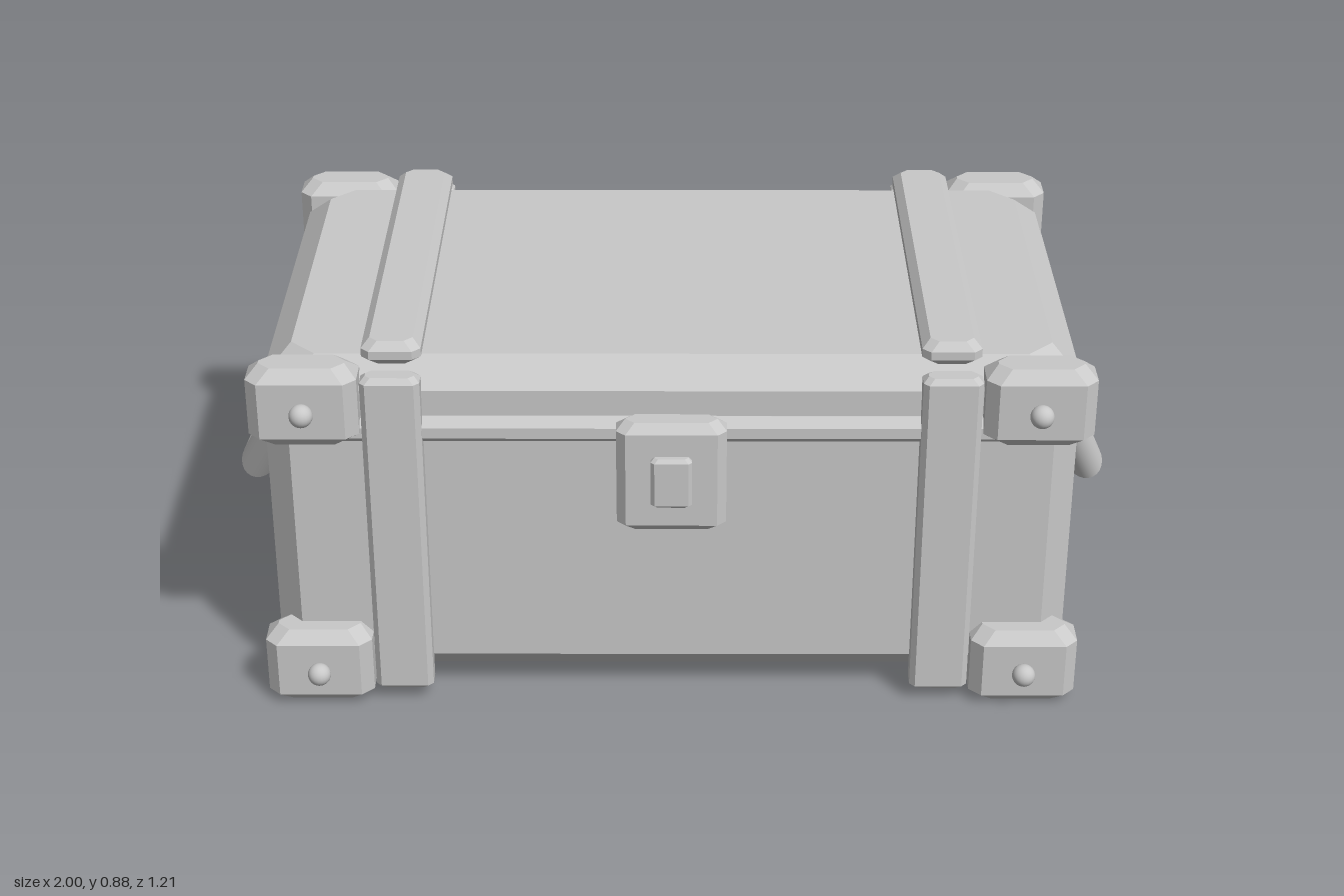
import * as THREE from 'three';

const grey = new THREE.MeshStandardMaterial({ color: 0xc8c8c8 });
grey.name = 'grey';

// Flat-faced solid through eight-sided rings, each [y, halfX, halfZ, cornerCut]
function loft(rings) {
  const pts = rings.map(([y, w, d, c]) => [
    [w, c - d], [w, d - c], [w - c, d], [c - w, d],
    [-w, d - c], [-w, c - d], [c - w, -d], [w - c, -d],
  ].map(([x, z]) => [x, y, z]));
  const out = [];
  const tri = (...p) => p.forEach((v) => out.push(...v));
  for (let i = 0; i + 1 < pts.length; i++) {
    for (let j = 0; j < 8; j++) {
      const k = (j + 1) % 8, lo = pts[i], hi = pts[i + 1];
      tri(lo[j], hi[j], hi[k]);
      tri(lo[j], hi[k], lo[k]);
    }
  }
  const bottom = pts[0], top = pts[pts.length - 1];
  for (let j = 1; j < 7; j++) {
    tri(bottom[0], bottom[j], bottom[j + 1]);
    tri(top[0], top[j + 1], top[j]);
  }
  const g = new THREE.BufferGeometry();
  g.setAttribute('position', new THREE.Float32BufferAttribute(out, 3));
  g.computeVertexNormals();
  return g;
}

// Block with every edge bevelled by b
function block(w, h, d, b) {
  return loft([
    [-h / 2, w / 2 - b, d / 2 - b, b], [-h / 2 + b, w / 2, d / 2, b],
    [h / 2 - b, w / 2, d / 2, b], [h / 2, w / 2 - b, d / 2 - b, b],
  ]);
}

// Round bar with mitred corners along a list of points
function mitredBar(points, radius, sides) {
  const dirs = points.slice(1).map((p, i) => p.clone().sub(points[i]).normalize());
  const u = new THREE.Vector3(1, 0, 0).cross(dirs[0]).normalize();
  const v = dirs[0].clone().cross(u);
  let ring = [];
  for (let j = 0; j < sides; j++) {
    const a = (j / sides) * Math.PI * 2;
    ring.push(points[0].clone().addScaledVector(u, Math.cos(a) * radius).addScaledVector(v, Math.sin(a) * radius));
  }
  const pos = [], index = [];
  const add = (p) => pos.push(p.x, p.y, p.z);
  const cap = (centre, loop, flip) => {
    const s = pos.length / 3;
    add(centre);
    loop.forEach(add);
    for (let j = 0; j < sides; j++) {
      const a = s + 1 + j, b = s + 1 + ((j + 1) % sides);
      index.push(s, flip ? b : a, flip ? a : b);
    }
  };
  cap(points[0], ring, true);
  dirs.forEach((d, i) => {
    const n = d.clone().add(dirs[i + 1] || d);
    const next = ring.map((p) => p.clone().addScaledVector(d, points[i + 1].clone().sub(p).dot(n) / d.dot(n)));
    const s = pos.length / 3;
    ring.forEach(add);
    next.forEach(add);
    for (let j = 0; j < sides; j++) {
      const k = (j + 1) % sides;
      index.push(s + j, s + k, s + sides + k, s + j, s + sides + k, s + sides + j);
    }
    ring = next;
  });
  cap(points[points.length - 1], ring, false);
  const g = new THREE.BufferGeometry();
  g.setAttribute('position', new THREE.Float32BufferAttribute(pos, 3));
  g.setIndex(index);
  g.computeVertexNormals();
  return g;
}

export function createModel() {
  const model = new THREE.Group();
  model.name = 'trunk';
  const add = (name, geometry, x = 0, y = 0, z = 0) => {
    const mesh = new THREE.Mesh(geometry, grey);
    mesh.name = name;
    mesh.position.set(x, y, z);
    model.add(mesh);
  };

  // Body, rim and lid
  add('body', loft([[0.04, 0.83, 0.44, 0.055], [0.1, 0.895, 0.5, 0.058], [0.68, 0.895, 0.5, 0.058]]));
  add('rim', loft([
    [0.662, 0.91, 0.515, 0.03], [0.675, 0.922, 0.528, 0.03],
    [0.7, 0.922, 0.528, 0.03], [0.72, 0.905, 0.507, 0.03],
  ]));
  add('lid', loft([[0.7, 0.895, 0.505, 0.06], [0.78, 0.895, 0.505, 0.06], [0.84, 0.834, 0.444, 0.057]]));

  // Corner brackets with rivets, and straps
  const bracket = block(0.24, 0.185, 0.12, 0.027);
  const rivet = new THREE.SphereGeometry(0.026, 20, 14);
  const sideStrap = block(0.13, 0.795, 0.06, 0.012);
  const lidStrap = block(0.13, 0.055, 0.975, 0.018);
  for (const sx of [1, -1]) {
    for (const sz of [1, -1]) {
      for (const y of [0.095, 0.757]) {
        add('cornerBracket', bracket, sx * 0.797, y, sz * 0.502);
        add('rivet', rivet, sx * 0.795, y, sz * 0.578);
      }
      add('sideStrap', sideStrap, sx * 0.607, 0.428, sz * 0.515);
    }
    add('lidStrap', lidStrap, sx * 0.607, 0.856, 0);

    // Carrying handle on each end
    const path = [[0.905, 0.547, 0.236], [0.958, 0.436, 0.18], [0.932, 0.436, -0.18], [0.88, 0.54, -0.236]]
      .map(([x, y, z]) => new THREE.Vector3(sx * x, y, z));
    add('handle', mitredBar(path, 0.041, 24));
  }

  // Front latch
  add('latchPlate', block(0.24, 0.265, 0.08, 0.02), 0, 0.597, 0.536);
  add('latchButton', block(0.09, 0.12, 0.04, 0.008), 0, 0.597, 0.576);
  return model;
}
